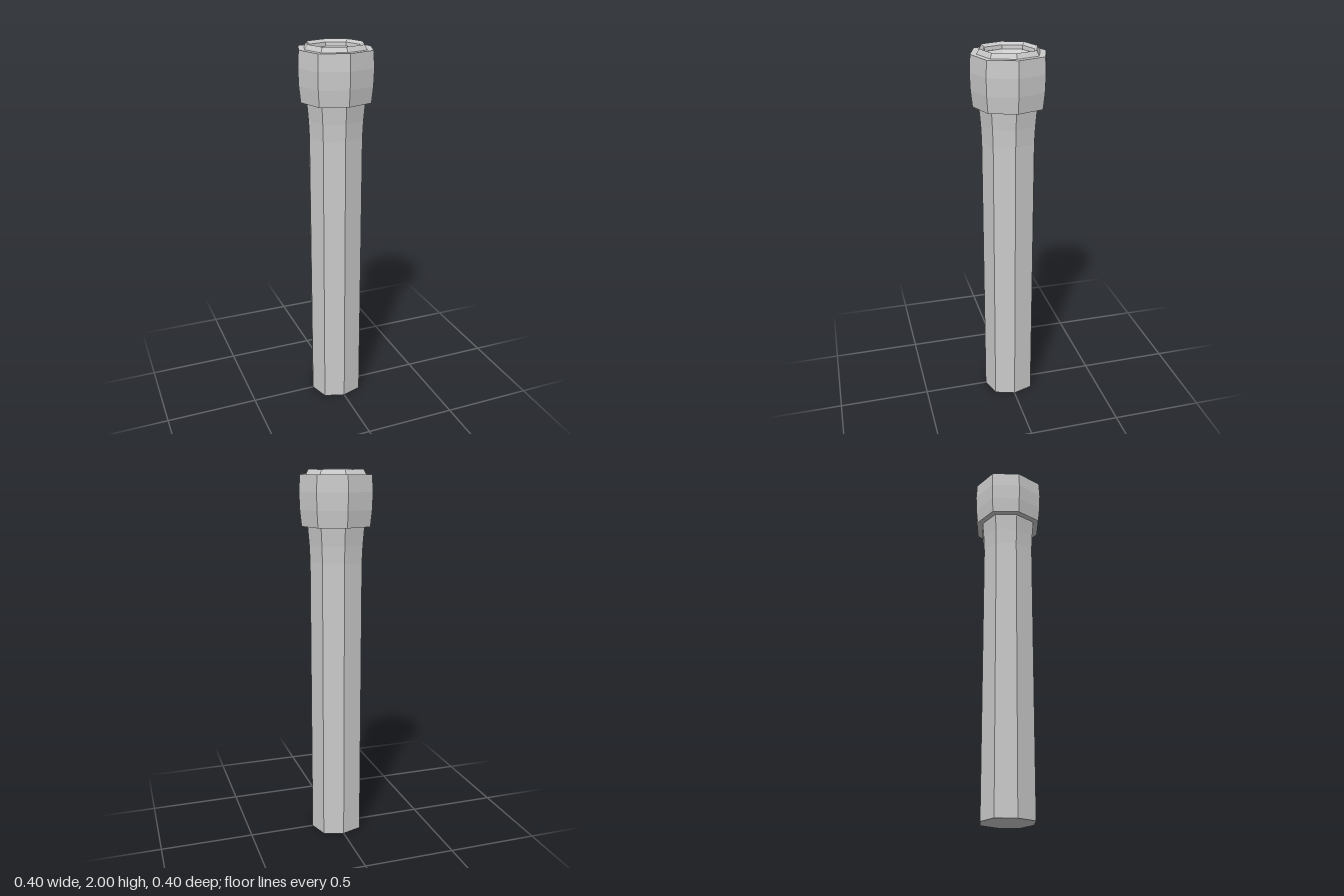
import * as THREE from 'three';

const material = new THREE.MeshStandardMaterial({ color: 0xcccccc, flatShading: true });

// Eight-sided turned part; the diagonal corners sit slightly further out.
function turned(name, profile, diagonal) {
  const points = profile.map(([r, y]) => new THREE.Vector2(r, y));
  const geometry = new THREE.LatheGeometry(points, 8).toNonIndexed();
  const pos = geometry.attributes.position;
  for (let i = 0; i < pos.count; i++) {
    const x = pos.getX(i), z = pos.getZ(i);
    if (Math.abs(x) > 1e-4 && Math.abs(z) > 1e-4) {
      pos.setX(i, x * diagonal);
      pos.setZ(i, z * diagonal);
    }
  }
  geometry.computeVertexNormals();
  const mesh = new THREE.Mesh(geometry, material);
  mesh.name = name;
  return mesh;
}

export function createModel() {
  const model = new THREE.Group();
  model.name = 'torch';

  // Straight handle with a closed base, flaring gently under the head
  model.add(turned('handle', [
    [0, 0], [0.142, 0], [0.142, 1.53], [0.146, 1.62], [0.154, 1.715],
  ], 1.07));

  // Bulging head with a flat underside and a flat shoulder
  model.add(turned('head', [
    [0.15, 1.715], [0.186, 1.715], [0.195, 1.8], [0.198, 1.89], [0.193, 1.975], [0.162, 1.975],
  ], 1.06));

  // Raised bezel around the opening
  model.add(turned('bezel', [
    [0.162, 1.975], [0.148, 2.0], [0.133, 1.985], [0.13, 1.965],
  ], 1.06));

  // Shallow reflector bowl
  model.add(turned('reflector', [
    [0.13, 1.965], [0.097, 1.943], [0, 1.93],
  ], 1.05));

  return model;
}
